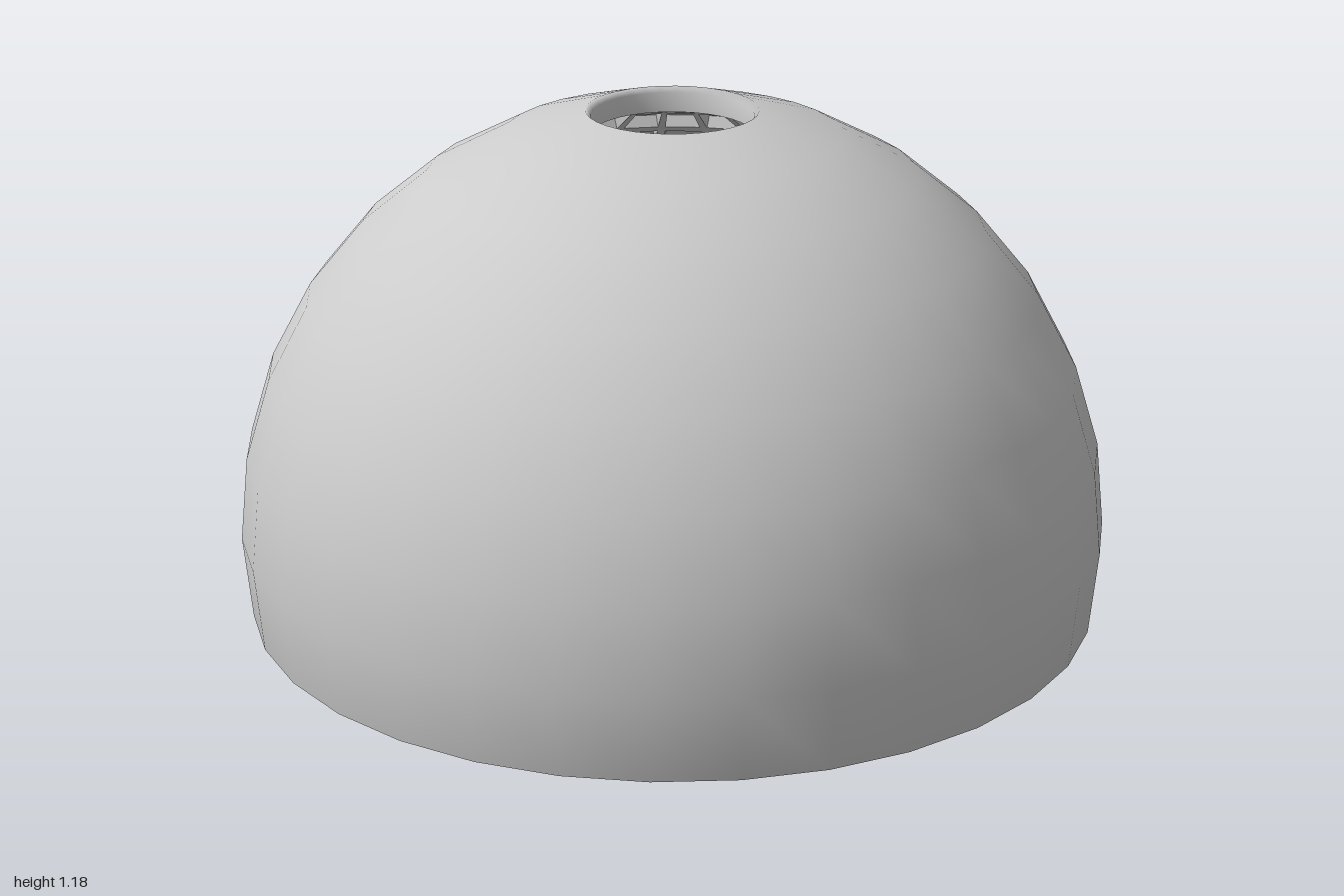
import * as THREE from 'three';
import { toCreasedNormals } from 'three/addons/utils/BufferGeometryUtils.js';

const SEG = 32, STEP = Math.PI / 16, CY = 0.2;
const mat = new THREE.MeshStandardMaterial({ color: 0xcccccc });

function add(parent, name, geo, x = 0, y = 0, z = 0) {
  const m = new THREE.Mesh(geo, mat);
  m.name = name;
  m.position.set(x, y, z);
  parent.add(m);
  return m;
}

const lathe = (pts, n = 24) =>
  new THREE.LatheGeometry(pts.map(p => new THREE.Vector2(...p)), n);

// Dome shell: inner wall down to the rim, outer skin up to the oculus lip
function shellGeometry() {
  const ring = (r, k) => [r * Math.cos(k * STEP), CY + r * Math.sin(k * STEP)];
  const pts = [ring(0.94, 2), ring(0.975, 2), ring(0.978, 1), ring(0.978, 0), [0.96, 0.005]];
  for (let k = -1; k <= 7; k++) pts.push(ring(1, k));
  pts.push([0.184, 1.168], ring(0.94, 7));
  return lathe(pts, SEG);
}

// Inner vault: every cell is a rib frame around a recessed panel
function cofferGeometry() {
  const pos = [];
  const P = (lat, az, r) => [
    r * Math.cos(lat) * Math.cos(az), CY + r * Math.sin(lat), r * Math.cos(lat) * Math.sin(az)];
  const quad = (a, b, c, d) => pos.push(...a, ...b, ...c, ...a, ...c, ...d);
  const corners = (lat, az, inset, r) => {
    const i = inset * STEP, j = STEP - i;
    return [P(lat + i, az + i, r), P(lat + i, az + j, r), P(lat + j, az + j, r), P(lat + j, az + i, r)];
  };
  for (let row = 2; row < 7; row++) {
    for (let s = 0; s < SEG; s++) {
      const lat = row * STEP, az = (s - 0.5) * STEP;
      const loops = [corners(lat, az, 0, 0.94), corners(lat, az, 0.09, 0.94), corners(lat, az, 0.13, 0.968)];
      for (let l = 0; l < 2; l++) {
        for (let k = 0; k < 4; k++) {
          const n = (k + 1) % 4;
          quad(loops[l][k], loops[l][n], loops[l + 1][n], loops[l + 1][k]);
        }
      }
      quad(...loops[2]);
    }
  }
  const g = new THREE.BufferGeometry();
  g.setAttribute('position', new THREE.Float32BufferAttribute(pos, 3));
  g.computeVertexNormals();
  return g;
}

// Group on the wall at an azimuth, its +z facing the centre
function station(parent, name, az, radius) {
  const g = new THREE.Group();
  g.name = name;
  g.position.set(radius * Math.cos(az), 0, radius * Math.sin(az));
  g.rotation.y = Math.atan2(-Math.cos(az), -Math.sin(az));
  parent.add(g);
  return g;
}

// Round column with a ring base and one of three capitals
function roundColumn(g, capital) {
  add(g, 'columnBase', toCreasedNormals(lathe([[0, 0.015], [0.07, 0.015], [0.072, 0.05], [0.066, 0.08]]), 0.7));
  const ring = add(g, 'baseRing', new THREE.TorusGeometry(0.083, 0.025, 10, 24), 0, 0.027);
  ring.rotation.x = Math.PI / 2;
  add(g, 'shaft', new THREE.CylinderGeometry(0.052, 0.06, 0.4, 20), 0, 0.26);
  add(g, 'necking', new THREE.TorusGeometry(0.054, 0.01, 8, 20), 0, 0.45).rotation.x = Math.PI / 2;
  if (capital === 'leaf') {
    add(g, 'capitalBell', lathe([[0.048, 0.45], [0.05, 0.5], [0.07, 0.545], [0, 0.545]]));
    for (let tier = 0; tier < 2; tier++) {
      for (let i = 0; i < 8; i++) {
        const a = (i + tier / 2) * Math.PI / 4, r = 0.055 + tier * 0.008;
        const leaf = add(g, 'leaf', new THREE.SphereGeometry(0.02, 8, 6),
          r * Math.cos(a), 0.475 + tier * 0.04, r * Math.sin(a));
        leaf.scale.set(0.6, 1.5, 0.9);
        leaf.rotation.y = -a;
      }
    }
    add(g, 'abacus', new THREE.BoxGeometry(0.12, 0.02, 0.12), 0, 0.55);
  } else if (capital === 'scroll') {
    for (const s of [-1, 1]) {
      const roll = add(g, 'scroll', new THREE.CylinderGeometry(0.034, 0.034, 0.12, 16), s * 0.062, 0.49);
      roll.rotation.x = Math.PI / 2;
      add(g, 'scrollRing', new THREE.TorusGeometry(0.027, 0.009, 8, 16), s * 0.062, 0.49, 0.06);
    }
    add(g, 'scrollBand', new THREE.BoxGeometry(0.13, 0.04, 0.11), 0, 0.505);
    add(g, 'abacus', new THREE.BoxGeometry(0.15, 0.025, 0.12), 0, 0.54);
  } else {
    add(g, 'echinus', lathe([[0.052, 0.45], [0.058, 0.48], [0.08, 0.515], [0.08, 0.53], [0, 0.53]]));
    add(g, 'abacus', new THREE.BoxGeometry(0.16, 0.025, 0.14), 0, 0.54);
  }
}

// Square pillar with a block base and a flared head
function squarePillar(g) {
  add(g, 'pillarBase', new THREE.BoxGeometry(0.2, 0.06, 0.18), 0, 0.03);
  add(g, 'pillarShaft', new THREE.BoxGeometry(0.11, 0.4, 0.1), 0, 0.26);
  const flare = add(g, 'pillarFlare', new THREE.CylinderGeometry(0.12, 0.078, 0.06, 4, 1)
    .rotateY(Math.PI / 4).toNonIndexed(), 0, 0.485);
  flare.geometry.computeVertexNormals();
  add(g, 'pillarHead', new THREE.BoxGeometry(0.17, 0.035, 0.15), 0, 0.53);
}

// Niche framed by a round tube arch
function archNiche(g) {
  const r = 0.17, spring = 0.27;
  add(g, 'arch', new THREE.TorusGeometry(r, 0.03, 10, 24, Math.PI), 0, spring);
  for (const s of [-1, 1]) {
    add(g, 'archPost', new THREE.CylinderGeometry(0.03, 0.03, spring, 12), s * r, spring / 2);
  }
  add(g, 'lintel', new THREE.BoxGeometry(0.29, 0.04, 0.07), 0, 0.29, 0.005);
  add(g, 'nichePanel', new THREE.BoxGeometry(0.32, 0.28, 0.015), 0, 0.145, -0.02);
}

// Niche framed by posts under a pierced triangular gable
function gableNiche(g) {
  const poly = (Type, pts) => {
    const s = new Type();
    s.setFromPoints(pts.map(p => new THREE.Vector2(...p)));
    return s;
  };
  const frame = poly(THREE.Shape, [
    [-0.19, 0.005], [-0.145, 0.005], [-0.145, 0.29], [0.145, 0.29], [0.145, 0.005],
    [0.19, 0.005], [0.19, 0.33], [0, 0.49], [-0.19, 0.33]]);
  frame.holes.push(poly(THREE.Path, [[-0.09, 0.345], [0, 0.425], [0.09, 0.345]]));
  add(g, 'gableFrame', new THREE.ExtrudeGeometry(frame, { depth: 0.06, bevelEnabled: false }), 0, 0, -0.025);
  add(g, 'nichePanel', new THREE.BoxGeometry(0.32, 0.3, 0.015), 0, 0.155, -0.02);
}

export function createModel() {
  const model = new THREE.Group();
  model.name = 'domedHall';
  add(model, 'domeShell', shellGeometry());
  add(model, 'cofferedVault', cofferGeometry());

  // Eight supports alternate with eight niches round the wall
  const kinds = ['square', 'leaf', 'scroll', 'plain'];
  for (let i = 0; i < 8; i++) {
    const az = STEP + i * Math.PI / 4;
    const kind = kinds[i % 4];
    const support = station(model, kind + 'Column', az, 0.845);
    if (kind === 'square') squarePillar(support);
    else roundColumn(support, kind);

    const arched = i % 2 === 0;
    const niche = station(model, arched ? 'archNiche' : 'gableNiche', az + Math.PI / 8, 0.915);
    if (arched) archNiche(niche);
    else gableNiche(niche);
  }
  return model;
}
